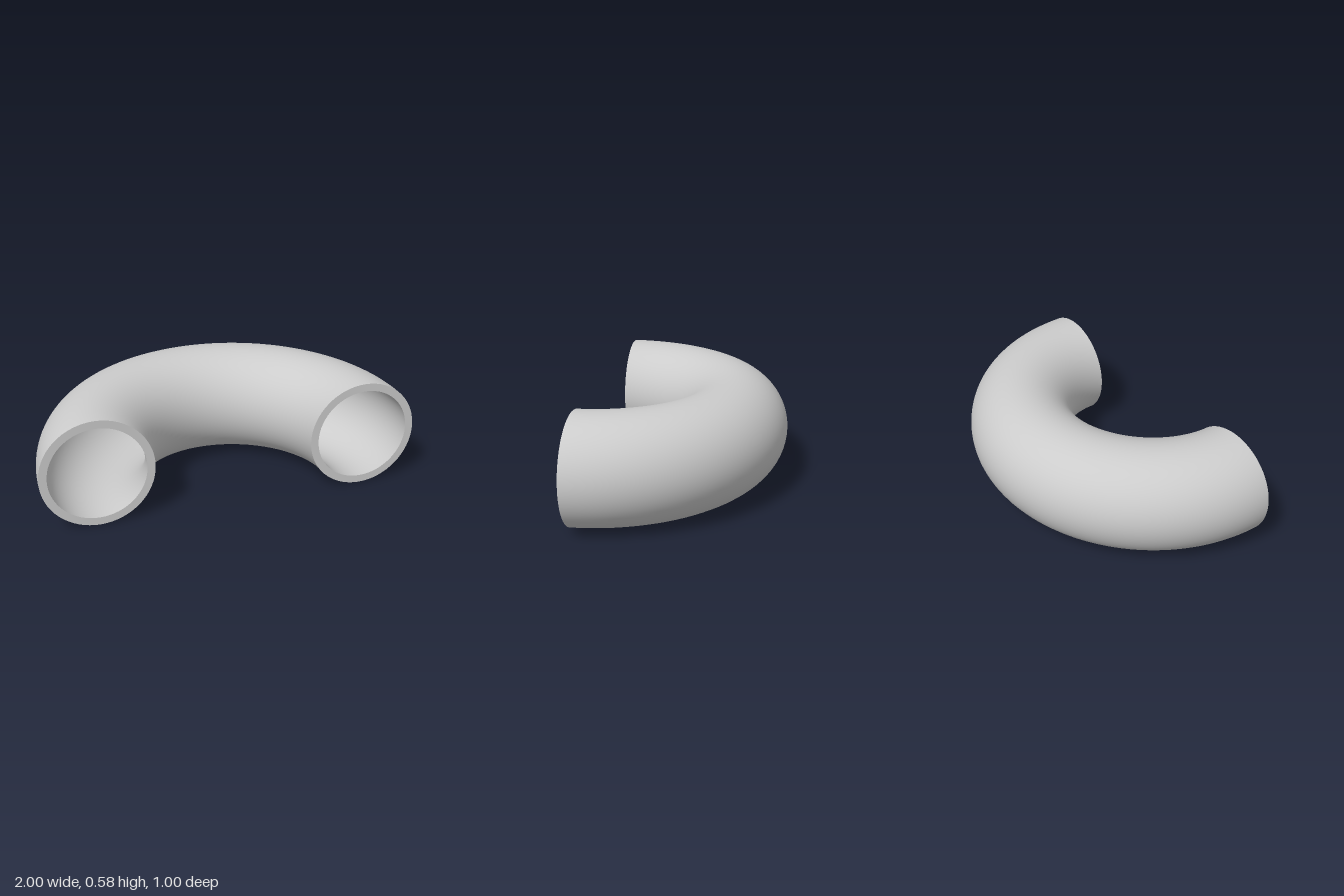
import * as THREE from 'three';

const BEND = 0.7085;   // radius of the pipe's centre line
const OUTER = 0.2915;  // outside radius of the pipe
const INNER = 0.25;    // bore radius
const SIDES = 64;

// Half torus lying flat, curving towards -z
function halfTorus(radius) {
  return new THREE.TorusGeometry(BEND, radius, SIDES, 96, Math.PI).rotateX(-Math.PI / 2);
}

// Turn a surface inside out
function invert(geometry) {
  const index = geometry.index;
  for (let i = 0; i < index.count; i += 3) {
    const a = index.getX(i);
    index.setX(i, index.getX(i + 2));
    index.setX(i + 2, a);
  }
  const normal = geometry.attributes.normal;
  for (let i = 0; i < normal.array.length; i++) normal.array[i] *= -1;
  return geometry;
}

export function createModel() {
  const group = new THREE.Group();
  group.name = 'pipeBend';
  const material = new THREE.MeshStandardMaterial({ color: 0xcccccc });

  const add = (name, geometry, x = 0) => {
    const mesh = new THREE.Mesh(geometry, material);
    mesh.name = name;
    mesh.position.set(x, OUTER, 0.5);
    group.add(mesh);
  };

  // Pipe wall, outside and bore
  add('outerWall', halfTorus(OUTER));
  add('innerWall', invert(halfTorus(INNER)));

  // Flat rims closing the wall at both open ends
  const rim = new THREE.RingGeometry(INNER, OUTER, SIDES);
  add('leftRim', rim, BEND);
  add('rightRim', rim, -BEND);

  return group;
}
